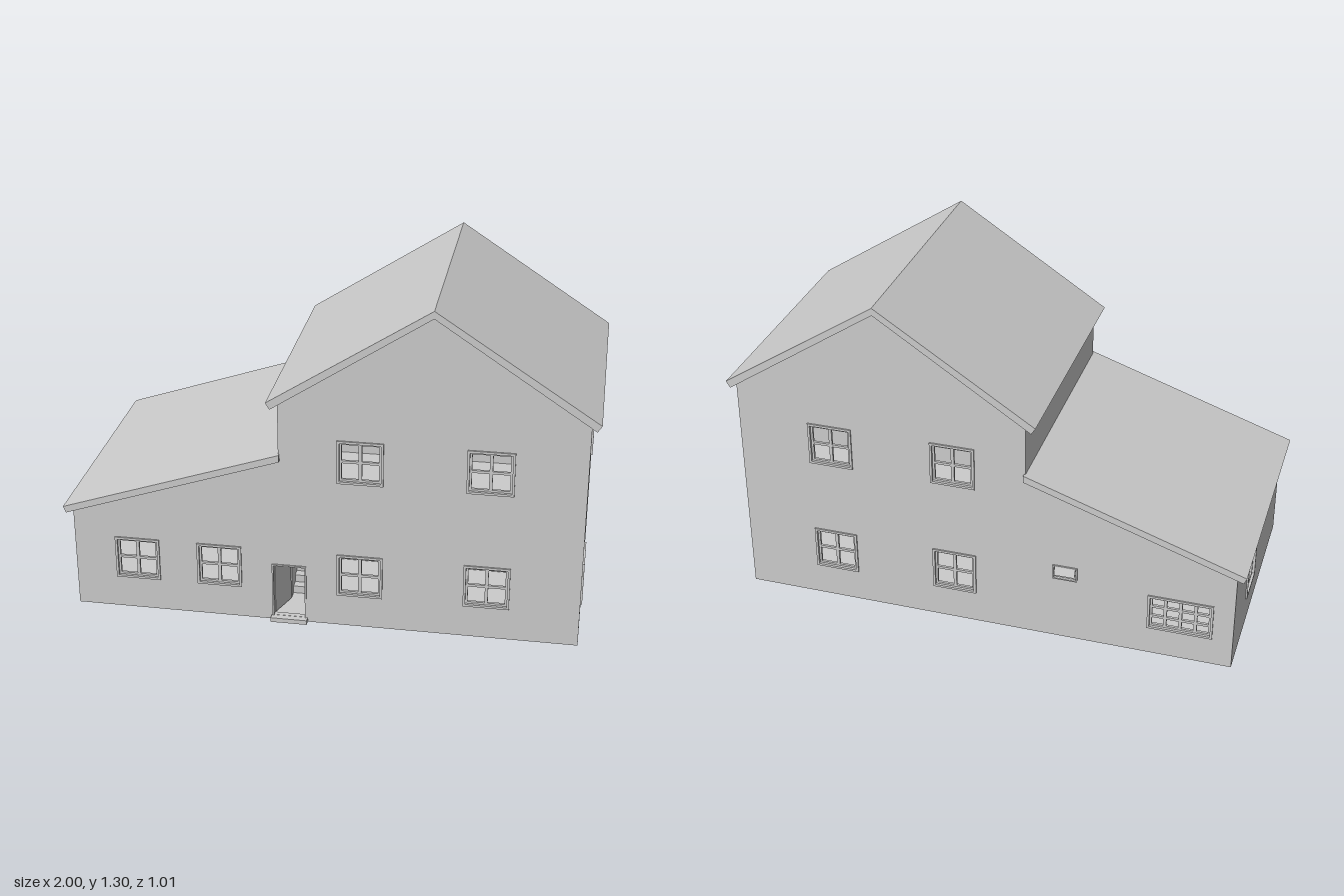
import * as THREE from 'three';

const mat = new THREE.MeshStandardMaterial({ color: 0xcccccc, flatShading: true, side: THREE.DoubleSide });
const T = 0.02; // wall thickness
const FRONT = 0.48, BACK = -0.49, SIDE = 0.965;

function add(parent, name, geometry, x = 0, y = 0, z = 0) {
  const mesh = new THREE.Mesh(geometry, mat);
  mesh.name = name;
  mesh.position.set(x, y, z);
  parent.add(mesh);
  return mesh;
}

// Box given by its minimum and maximum corners
function box(parent, name, x0, x1, y0, y1, z0, z1) {
  return add(parent, name, new THREE.BoxGeometry(x1 - x0, y1 - y0, z1 - z0),
    (x0 + x1) / 2, (y0 + y1) / 2, (z0 + z1) / 2);
}

function polygon(points) {
  return new THREE.Shape(points.map(([x, y]) => new THREE.Vector2(x, y)));
}

function extrude(shape, depth) {
  return new THREE.ExtrudeGeometry(shape, { depth, bevelEnabled: false });
}

// Trim, sash frame and glazing bars; out = +1 or -1 is the outward local z
function addWindow(parent, w, out) {
  const g = new THREE.Group();
  g.name = 'window';
  g.position.set(w.u, w.y, out > 0 ? T : 0);
  parent.add(g);
  const hw = w.w / 2, hh = w.h / 2, b = w.trim ?? 0.009;
  const zs = (a, c) => [Math.min(a * out, c * out), Math.max(a * out, c * out)];
  const trim = zs(-0.002, 0.006), sash = zs(-0.014, -0.004);
  for (const s of [-1, 1]) {
    const rail = (name, p, q, z) => box(g, name, -hw - b, hw + b, Math.min(s * p, s * q), Math.max(s * p, s * q), ...z);
    const stile = (name, p, q, z) => box(g, name, Math.min(s * p, s * q), Math.max(s * p, s * q), -hh, hh, ...z);
    rail('windowTrim', hh, hh + b, trim);
    stile('windowTrim', hw, hw + b, trim);
    rail('windowSash', hh - 0.008, hh, sash);
    stile('windowSash', hw - 0.008, hw, sash);
  }
  for (let i = 1; i < w.cols; i++) {
    const x = -hw + (w.w * i) / w.cols;
    box(g, 'glazingBar', x - 0.006, x + 0.006, -hh, hh, ...sash);
  }
  for (let i = 1; i < w.rows; i++) {
    const y = -hh + (w.h * i) / w.rows;
    box(g, 'glazingBar', -hw, hw, y - 0.005, y + 0.005, ...sash);
  }
}

// Wall from an outline with window and door openings
function wall(parent, name, outline, openings, out) {
  const g = new THREE.Group();
  g.name = name;
  parent.add(g);
  const shape = polygon(outline);
  for (const o of openings) {
    const a = o.w / 2, b = o.h / 2;
    shape.holes.push(polygon([[o.u - a, o.y - b], [o.u - a, o.y + b], [o.u + a, o.y + b], [o.u + a, o.y - b]]));
    if (!o.plain) addWindow(g, o, out);
  }
  add(g, name + 'Panel', extrude(shape, T));
  return g;
}

const win = (u, y) => ({ u, y, w: 0.155, h: 0.155, cols: 2, rows: 2 });
const LOW = 0.217, HIGH = 0.69;

export function createModel() {
  const house = new THREE.Group();
  house.name = 'house';

  // Gable walls, front and back
  const gable = [[-SIDE, 0], [SIDE, 0], [SIDE, 0.905], [0.4, 1.28], [-0.165, 0.905], [-0.165, 0.685], [-SIDE, 0.412]];
  wall(house, 'frontWall', gable, [
    win(-0.72, LOW), win(-0.4, LOW), win(0.14, LOW), win(0.617, LOW), win(0.14, HIGH), win(0.617, HIGH),
    { u: -0.13, y: 0.127, w: 0.12, h: 0.216, plain: true },
  ], 1).position.z = FRONT - T;
  wall(house, 'backWall', gable, [
    win(0.6, LOW), win(0.117, LOW), win(0.6, HIGH), win(0.117, HIGH),
    { u: -0.763, y: 0.19, w: 0.23, h: 0.13, cols: 4, rows: 3 },
    { u: -0.32, y: 0.297, w: 0.085, h: 0.05, cols: 1, rows: 1, trim: 0.005 },
  ], -1).position.z = BACK;

  // Side walls, drawn along z and turned into place
  const sideOutline = (y0, y1) => [[BACK + T, y0], [FRONT - T, y0], [FRONT - T, y1], [BACK + T, y1]];
  const leftWall = wall(house, 'leftWall', sideOutline(0, 0.905), [win(0.314, LOW), win(0, HIGH)], -1);
  leftWall.rotation.y = -Math.PI / 2;
  leftWall.position.x = SIDE;
  const rightWall = wall(house, 'rightWall', sideOutline(0, 0.412), [win(-0.145, LOW)], 1);
  rightWall.rotation.y = -Math.PI / 2;
  rightWall.position.x = -SIDE + T;
  box(house, 'upperRightWall', -0.165, -0.145, 0.44, 0.91, BACK + T, FRONT - T);

  // Roofs
  const mainRoof = [[-0.19, 0.888], [0.4, 1.276], [0.984, 0.888], [1, 0.913], [0.4, 1.305], [-0.206, 0.913]];
  add(house, 'mainRoof', extrude(polygon(mainRoof), 1), 0, 0, -0.505);
  const lowRoof = [[-0.99, 0.398], [-0.16, 0.678], [-0.16, 0.706], [-1, 0.423]];
  add(house, 'lowRoof', extrude(polygon(lowRoof), 1), 0, 0, -0.505);

  // Floors and inner partitions
  box(house, 'groundFloor', -SIDE + T, SIDE - T, 0, 0.014, BACK + T, FRONT - T);
  box(house, 'upperFloor', -0.05, SIDE - T, 0.43, 0.45, BACK + T, FRONT - T);
  box(house, 'crossPartition', -0.165, -0.15, 0.014, 0.44, BACK + T, 0.33);
  box(house, 'lowerPartition', -0.05, SIDE - T, 0.014, 0.43, -0.01, 0.005);
  box(house, 'upperPartition', -0.145, SIDE - T, 0.45, 0.9, -0.11, -0.095);

  // Stairs behind the front door
  for (let i = 0; i < 14; i++) {
    const z = 0.3 - i * 0.035;
    box(house, 'stair', -0.15, -0.06, 0.014, 0.014 + (i + 1) * 0.03, z - 0.035, z);
  }

  // Front door standing open, its frame and doorstep
  const door = new THREE.Group();
  door.name = 'frontDoor';
  door.position.set(-0.188, 0.02, FRONT - T);
  door.rotation.y = 1.22;
  house.add(door);
  box(door, 'doorLeaf', 0, 0.115, 0, 0.21, -0.008, 0);
  box(house, 'doorstep', -0.2, -0.06, 0, 0.018, FRONT, 0.505);
  box(house, 'doorFrame', -0.196, -0.19, 0.018, 0.241, FRONT, FRONT + 0.005);
  box(house, 'doorFrame', -0.07, -0.064, 0.018, 0.241, FRONT, FRONT + 0.005);
  box(house, 'doorFrame', -0.19, -0.07, 0.235, 0.241, FRONT, FRONT + 0.005);

  // Small back window hung open at the bottom
  const hopper = box(house, 'ventPane', -0.36, -0.28, 0.288, 0.326, -0.499, -0.496);
  hopper.rotation.x = 0.3;

  return house;
}
